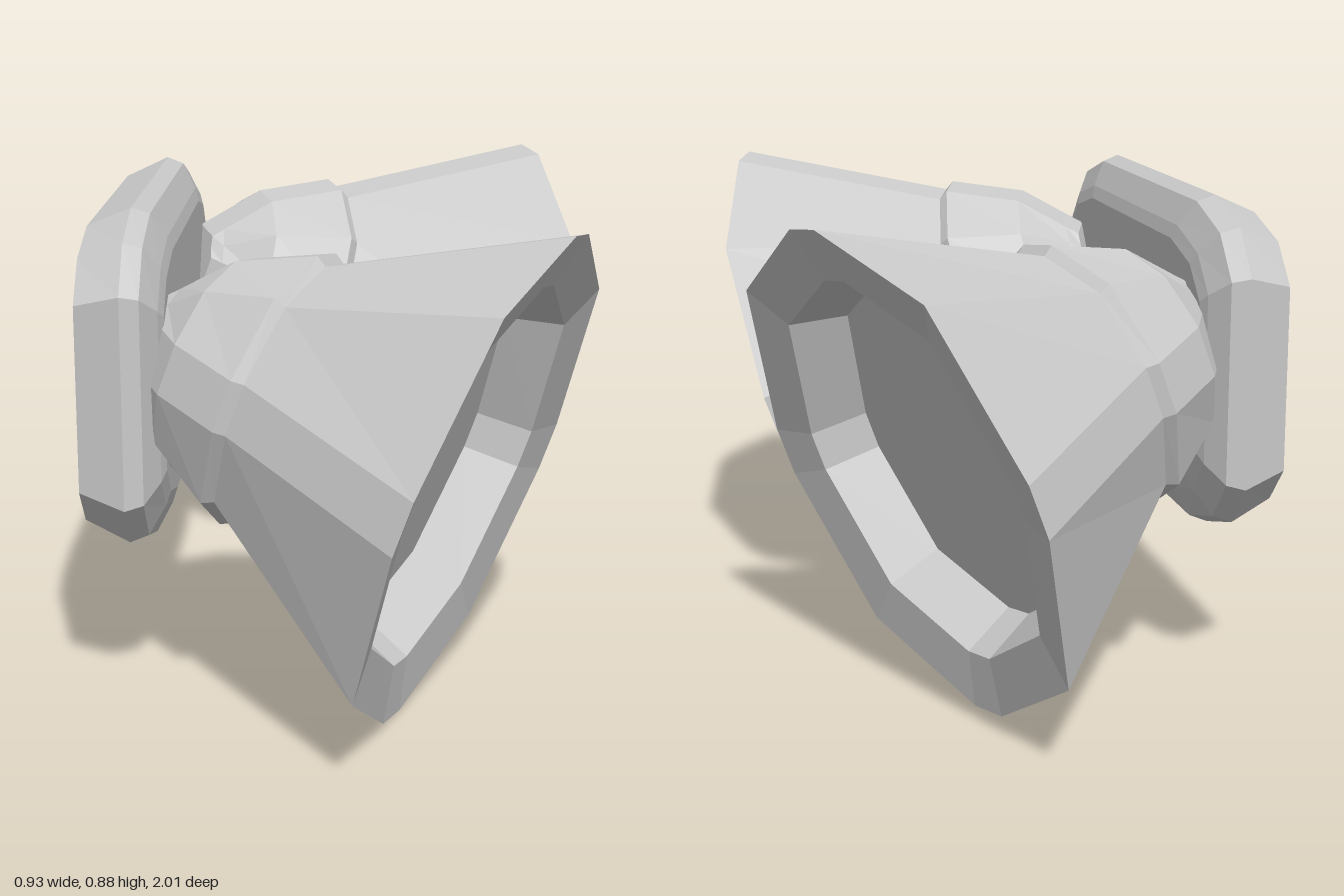
import * as THREE from 'three';

const material = new THREE.MeshStandardMaterial({ color: 0xcccccc, flatShading: true });

// Skin a list of rings (arrays of [x, y, z], counter-clockwise seen from +x)
function loft(name, rings, capStart, capEnd) {
  const pos = [];
  const n = rings[0].length;
  const tri = (a, b, c) => pos.push(...a, ...b, ...c);
  for (let i = 0; i < rings.length - 1; i++) {
    for (let j = 0; j < n; j++) {
      const k = (j + 1) % n;
      const a = rings[i][j], b = rings[i][k], c = rings[i + 1][k], d = rings[i + 1][j];
      tri(a, b, c);
      tri(a, c, d);
    }
  }
  const first = rings[0], last = rings[rings.length - 1];
  for (let j = 1; j < n - 1; j++) {
    if (capStart) tri(first[0], first[j + 1], first[j]);
    if (capEnd) tri(last[0], last[j], last[j + 1]);
  }
  const geometry = new THREE.BufferGeometry();
  geometry.setAttribute('position', new THREE.Float32BufferAttribute(pos, 3));
  geometry.computeVertexNormals();
  const mesh = new THREE.Mesh(geometry, material);
  mesh.name = name;
  return mesh;
}

// Octagonal lamp section: radius s, with four blunted corners of half width h
function lampRing([x, s, h = 0.047]) {
  const ring = [];
  const d = s * 0.736;
  for (let q = 0; q < 4; q++) {
    const c = [1, 0, -1, 0][q], r = [0, 1, 0, -1][q];
    for (const [y, z] of [[s, -h], [s, h], [d, d]]) {
      ring.push([x, y * c - z * r, y * r + z * c]);
    }
  }
  return ring;
}

// Rounded-rectangle plate section, pulled in by an inset
function plateRing([x, inset]) {
  const corner = [[0.31, 0.345], [0.27, 0.49], [0.19, 0.565]];
  const fy = (0.31 - inset) / 0.31, fz = (0.565 - inset) / 0.565;
  const ring = [];
  for (const [sy, sz] of [[1, 1], [-1, 1], [-1, -1], [1, -1]]) {
    const pts = sy * sz > 0 ? corner : [...corner].reverse();
    for (const [y, z] of pts) ring.push([x, sy * y * fy, sz * z * fz]);
  }
  return ring;
}

function createLamp(side) {
  const lamp = new THREE.Group();
  lamp.name = side > 0 ? 'leftLamp' : 'rightLamp';

  // Tapered back with a small step where the shade begins
  const housing = [[-0.65, 0.085], [-0.63, 0.106], [-0.55, 0.192], [-0.41, 0.259], [-0.39, 0.247]];
  lamp.add(loft('rearHousing', housing.map(lampRing), true, false));

  // Flared shade with its sloping front rim
  const shade = [[-0.39, 0.247], [0, 0.462], [-0.022, 0.36, 0.037]];
  lamp.add(loft('lampShade', shade.map(lampRing), false, false));

  // Recessed lens
  const lens = [[-0.022, 0.36, 0.037], [-0.125, 0.325, 0.035]];
  lamp.add(loft('recessedLens', lens.map(lampRing), false, true));

  // Aimed outward and down
  const aim = THREE.MathUtils.degToRad(20);
  lamp.position.set(0.24, 0.44, side * 0.569);
  lamp.rotation.set(0, -side * aim, -aim, 'ZYX');
  return lamp;
}

export function createModel() {
  const model = new THREE.Group();
  model.name = 'twinWallLamp';

  // Mounting plate
  const profile = [[-0.468, 0.037], [-0.385, 0], [-0.352, 0.012], [-0.325, 0.06], [-0.317, 0.085]];
  const plate = loft('mountingPlate', profile.map(plateRing), true, true);
  plate.position.y = 0.575;
  model.add(plate);

  for (const side of [1, -1]) model.add(createLamp(side));
  return model;
}
